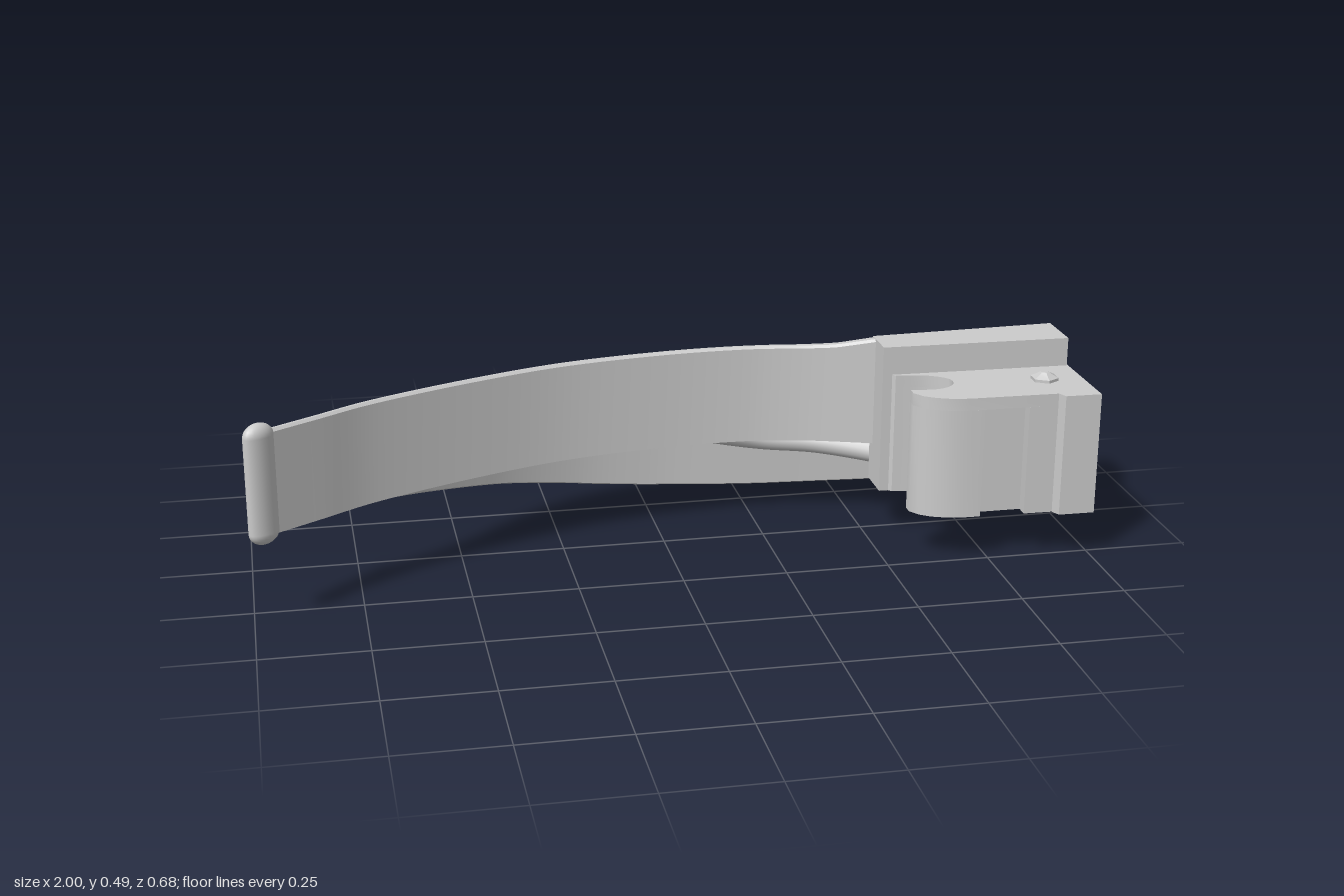
import * as THREE from 'three';
import { toCreasedNormals } from 'three/addons/utils/BufferGeometryUtils.js';

const material = new THREE.MeshStandardMaterial({ color: 0xcccccc, side: THREE.DoubleSide });

// Smooth plan curve through [x, z] pairs, sampled with inward (+z side) normals
function planCurve(pairs, n) {
  const curve = new THREE.SplineCurve(pairs.map(([x, z]) => new THREE.Vector2(x, z)));
  return Array.from({ length: n + 1 }, (_, i) => {
    const p = curve.getPoint(i / n), t = curve.getTangent(i / n);
    return { x: p.x, z: p.y, nx: -t.y, nz: t.x };
  });
}

// Piecewise-linear lookup in [x, value] pairs
function lookup(table, x) {
  if (x <= table[0][0]) return table[0][1];
  for (let i = 1; i < table.length; i++) {
    const [x0, a] = table[i - 1], [x1, b] = table[i];
    if (x <= x1) return a + (b - a) * (x - x0) / (x1 - x0);
  }
  return table[table.length - 1][1];
}

// Solid sweep: section(p) returns a ring of [inward offset, y]
function sweep(points, section) {
  const pos = [], idx = [];
  let m = 0;
  points.forEach((p) => {
    const ring = section(p);
    m = ring.length;
    ring.forEach(([d, y]) => pos.push(p.x + p.nx * d, y, p.z + p.nz * d));
  });
  for (let i = 0; i < points.length - 1; i++) {
    for (let j = 0; j < m; j++) {
      const a = i * m + j, b = i * m + (j + 1) % m;
      idx.push(a, a + m, b, b, a + m, b + m);
    }
  }
  const last = (points.length - 1) * m;
  for (let j = 1; j < m - 1; j++) idx.push(0, j, j + 1, last, last + j + 1, last + j);
  // Turn the faces outward if the ring ran the other way
  const v = (k) => new THREE.Vector3().fromArray(pos, 3 * k);
  let volume = 0;
  for (let i = 0; i < idx.length; i += 3) volume += v(idx[i]).dot(v(idx[i + 1]).cross(v(idx[i + 2])));
  if (volume < 0) idx.reverse();
  const g = new THREE.BufferGeometry();
  g.setAttribute('position', new THREE.Float32BufferAttribute(pos, 3));
  g.setIndex(idx);
  return toCreasedNormals(g, 0.6);
}

// Plan outline of [x, z] pairs extruded from y0 to y1
function slab(outline, y0, y1, hole) {
  const vec = (list) => list.map(([x, z]) => new THREE.Vector2(x, z));
  const shape = new THREE.Shape(vec(outline));
  if (hole) shape.holes.push(new THREE.Path(vec(hole)));
  const g = new THREE.ExtrudeGeometry(shape, { depth: y1 - y0, bevelEnabled: false });
  g.rotateX(Math.PI / 2).translate(0, y1, 0);
  return toCreasedNormals(g, 0.6);
}

export function createModel() {
  const model = new THREE.Group();
  const add = (name, geometry) => {
    const mesh = new THREE.Mesh(geometry, material);
    mesh.name = name;
    model.add(mesh);
    return mesh;
  };

  // Curved upright strip
  const wall = planCurve([[-0.97, 0.315], [-0.84, 0.23], [-0.7, 0.14], [-0.47, 0.033], [-0.24, -0.048],
    [0, -0.09], [0.2, -0.1], [0.36, -0.082], [0.53, -0.032], [0.6, -0.01]], 60);
  add('curvedWall', sweep(wall, (p) => {
    const t = lookup([[0.25, 0.0095], [0.55, 0.016]], p.x);
    const top = lookup([[0.36, 0.46], [0.44, 0.465], [0.5, 0.477], [0.54, 0.485]], p.x);
    return [[-t, 0.215], [-t, top - 0.006], [-t + 0.006, top], [t - 0.006, top], [t, top - 0.006], [t, 0.215]];
  }));

  // Rounded bead at the tip
  const bead = add('tipBead', new THREE.CapsuleGeometry(0.03, 0.225, 8, 20));
  bead.scale.set(1.3, 1, 0.78);
  bead.rotation.y = 0.62;
  bead.position.set(-0.966, 0.338, 0.314);

  // Hanging flange along the outer edge
  const outer = planCurve([[-0.71, 0.135], [-0.58, 0.0], [-0.4, -0.155], [-0.2, -0.257], [0, -0.305],
    [0.2, -0.322], [0.5, -0.335], [0.75, -0.341], [0.88, -0.334], [0.975, -0.305]], 60);
  const bottoms = [[-0.71, 0.212], [-0.5, 0.155], [-0.3, 0.103], [-0.15, 0.068], [0, 0.044],
    [0.15, 0.029], [0.3, 0.018], [0.6, 0.005], [0.975, 0]];
  const ramp = (x) => lookup([[-0.71, 0.15], [-0.45, 1]], x);
  add('outerFlange', sweep(outer, (p) => {
    const s = ramp(p.x), b = lookup(bottoms, p.x);
    return [[0.004, b], [0, b + 0.005], [0, Math.max(0.212, b + 0.006)], [0.009, 0.23], [0.028, 0.238],
      [0.045, 0.238], [0.045, 0.215], [0.03, 0.208], [0.03, b + 0.003], [0.026, b]]
      .map(([d, y]) => [d * s, y]);
  }));

  // Shelf joining wall and flange, with a slot for the light tube
  const slot = Array.from({ length: 28 }, (_, i) => {
    const a = i / 28 * Math.PI * 2;
    const u = 0.145 * Math.cos(a), w = 0.036 * Math.sin(a);
    return [0.125 + u + 0.14 * w, -0.2 - 0.19 * u + w];
  });
  const shelfOuter = outer.map((p) => [p.x + p.nx * 0.034 * ramp(p.x), p.z + p.nz * 0.034 * ramp(p.x)]);
  const shelfInner = wall.filter((p) => p.x > -0.69 && p.x < 0.55).map((p) => [p.x, p.z]).reverse();
  add('shelf', slab([...shelfOuter, [0.975, -0.05], ...shelfInner], 0.215, 0.2378, slot));

  // Light tube and its bulb
  const path = new THREE.CatmullRomCurve3([[0.62, 0.167, -0.03], [0.52, 0.167, -0.12], [0.42, 0.167, -0.19],
    [0.3, 0.17, -0.228], [0.18, 0.195, -0.222], [0.04, 0.237, -0.197], [-0.06, 0.258, -0.18]]
    .map((p) => new THREE.Vector3(...p)));
  add('lightTube', new THREE.TubeGeometry(path, 48, 0.029, 16));
  const from = new THREE.Vector3(-0.05, 0.256, -0.181), to = new THREE.Vector3(-0.205, 0.277, -0.152);
  const bulb = add('bulb', new THREE.CylinderGeometry(0.029, 0.032, from.distanceTo(to), 20));
  bulb.position.copy(from).lerp(to, 0.5);
  bulb.quaternion.setFromUnitVectors(new THREE.Vector3(0, 1, 0), to.clone().sub(from).normalize());

  // Base block: tall rear rail
  add('rearRail', slab([[0.53, -0.043], [0.995, -0.066], [0.995, 0.063], [0.53, 0.054]], 0.115, 0.485));

  // Base block: hooked front part with a shallow recess under its top plate
  const bay = new THREE.SplineCurve([[0.56, 0.062], [0.63, 0.075], [0.678, 0.11], [0.674, 0.155], [0.63, 0.181], [0.563, 0.175]]
    .map(([x, z]) => new THREE.Vector2(x, z))).getPoints(20).map((p) => [p.x, p.y]);
  const hook = [[0.54, 0.04], ...bay, [0.563, 0.2], [0.58, 0.225], [0.605, 0.243], [0.64, 0.257], [0.68, 0.263]];
  const end = [[0.9, 0.267], [0.91, 0.289], [0.998, 0.29], [0.998, 0.04]];
  const recess = [[0.72, 0.264], [0.72, 0.235], [0.83, 0.235], [0.83, 0.266]];
  add('hookBlock', slab([...hook, ...recess, ...end], 0.115, 0.385));
  add('hookBlockTop', slab([...hook, ...end], 0.385, 0.415));

  // Hexagonal screw ends above and below the block
  for (const [name, y, flip] of [['screwTop', 0.415, 0], ['screwBottom', 0.115, Math.PI]]) {
    const screw = add(name, toCreasedNormals(new THREE.LatheGeometry(
      [[0.034, -0.01], [0.034, 0.007], [0.018, 0.015], [0.011, 0.02], [0, 0.02]].map(([r, h]) => new THREE.Vector2(r, h)), 6), 0.3));
    screw.position.set(0.903, y, 0.158);
    screw.rotation.x = flip;
  }
  return model;
}
